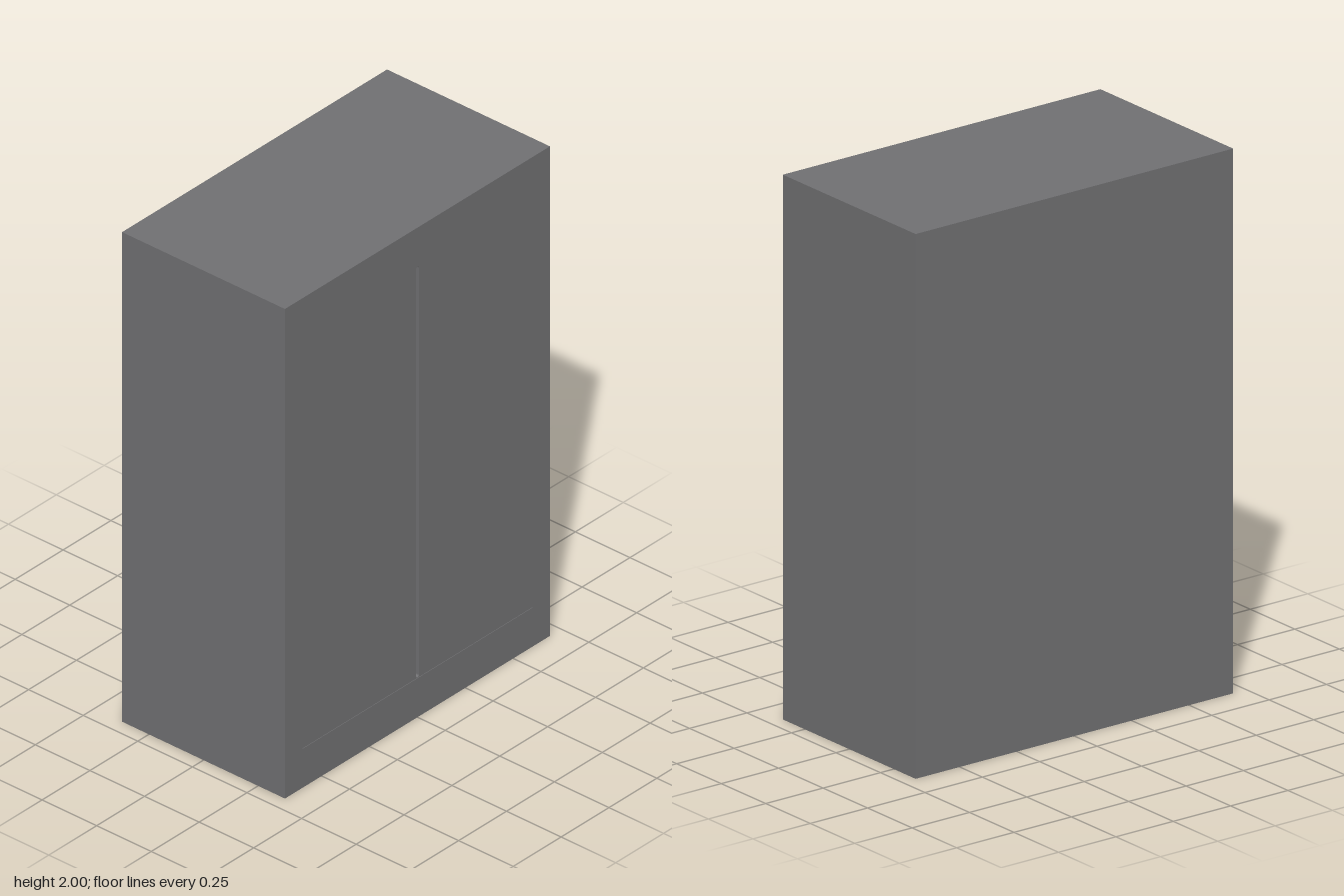
import * as THREE from 'three';

const W = 1.384, H = 2, D = 0.746, FRONT = 0.04; // FRONT = thickness of the slotted front

export function createModel() {
  const group = new THREE.Group();
  const grey = new THREE.MeshStandardMaterial({ color: 0x707072 });
  grey.name = 'cabinet grey';

  const add = (name, geometry, x, y, z) => {
    const mesh = new THREE.Mesh(geometry, grey);
    mesh.name = name;
    mesh.position.set(x, y, z);
    group.add(mesh);
  };

  // main body behind the front panel
  add('cabinetBody', new THREE.BoxGeometry(W, H, D - FRONT), 0, H / 2, -FRONT / 2);

  // front panel outline
  const panel = new THREE.Shape();
  panel.moveTo(-W / 2, 0);
  panel.lineTo(W / 2, 0);
  panel.lineTo(W / 2, H);
  panel.lineTo(-W / 2, H);
  panel.closePath();

  // upright round-ended slot between the doors
  const r = 0.008, low = 0.163, high = 1.84;
  const slot = new THREE.Path();
  slot.absarc(0, high - r, r, 0, Math.PI, false);
  slot.absarc(0, low + r, r, Math.PI, Math.PI * 2, false);
  slot.closePath();

  // hairline gap along the bottom of the doors
  const gap = new THREE.Path();
  gap.moveTo(-0.6, 0.159);
  gap.lineTo(0.6, 0.159);
  gap.lineTo(0.6, 0.161);
  gap.lineTo(-0.6, 0.161);
  gap.closePath();

  panel.holes.push(slot, gap);
  add('frontPanel', new THREE.ExtrudeGeometry(panel, { depth: FRONT, bevelEnabled: false, curveSegments: 8 }),
    0, 0, D / 2 - FRONT);

  // two catches set deep in the slot
  for (const y of [0.715, 1.303]) {
    add('slotCatch', new THREE.BoxGeometry(2 * r, 0.107, 0.015), 0, y, D / 2 - FRONT + 0.0075);
  }
  return group;
}
